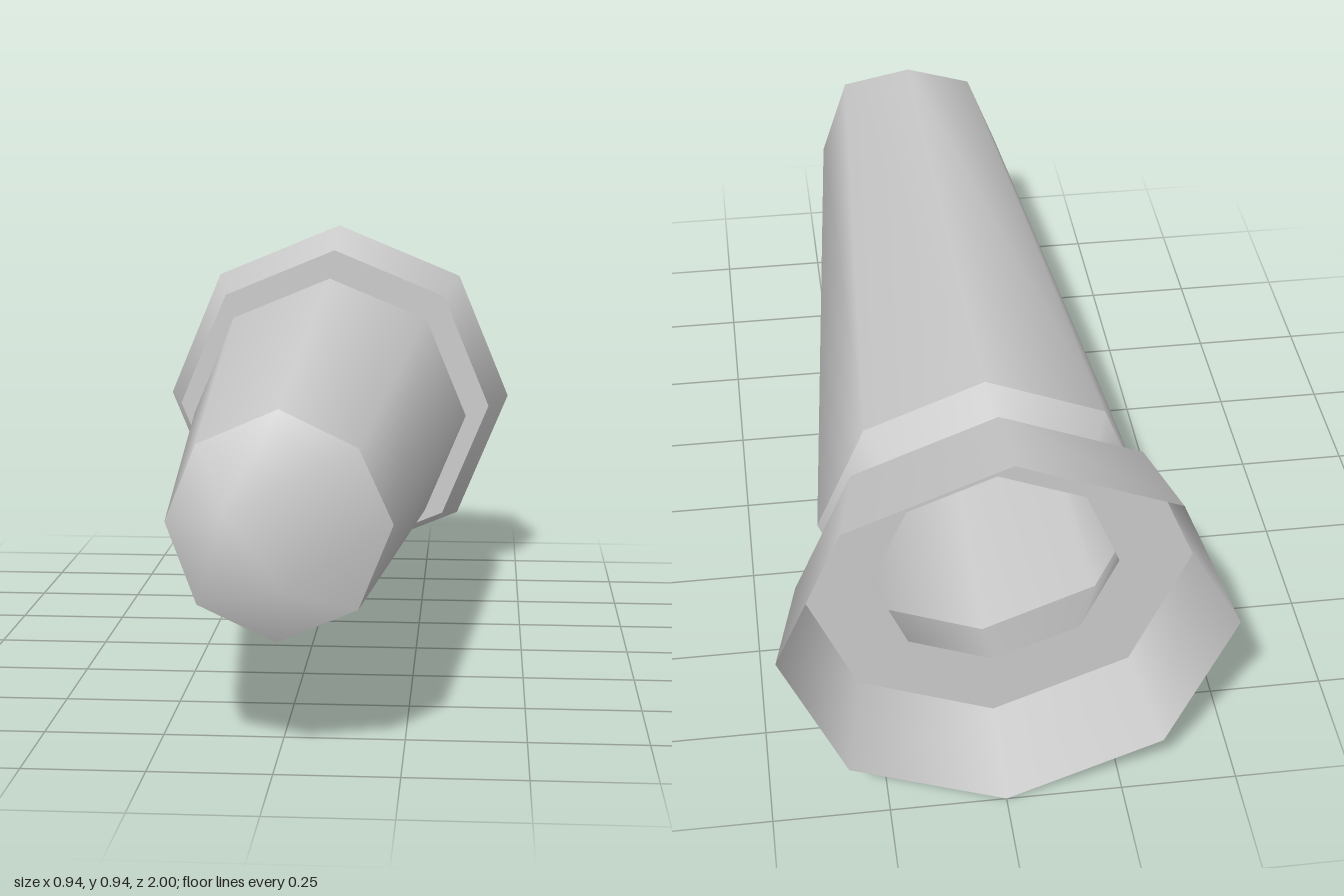
import * as THREE from 'three';

const SIDES = 8;
const CENTRE_Y = 0.472;
// front rim heights, counter-clockwise from +x in 45 degree steps
const RIM_Z = [0.86, 0.915, 0.86, 0.89, 0.86, 0.89, 0.92, 0.91];
const RIM_R = 0.228;

export function createModel() {
  const group = new THREE.Group();
  group.name = 'taperedTube';
  const grey = new THREE.MeshStandardMaterial({ color: 0xcccccc, side: THREE.DoubleSide });
  grey.name = 'light grey';

  const add = (name, geometry) => {
    const mesh = new THREE.Mesh(geometry, grey);
    mesh.name = name;
    mesh.position.y = CENTRE_Y;
    group.add(mesh);
  };

  // eight-sided band along z, smooth around and sharp at its ends
  const band = (r0, z0, r1, z1) =>
    new THREE.LatheGeometry([new THREE.Vector2(r0, z0), new THREE.Vector2(r1, z1)], SIDES)
      .rotateX(Math.PI / 2);

  // open collar at the back, its flat ring and the flaring neck
  add('collar', band(0.472, -1, 0.418, -0.79));
  add('collarRing', band(0.418, -0.79, 0.262, -0.79));
  add('neck', band(0.262, -0.79, 0.358, -0.605));

  // long body with an uneven front rim
  const body = band(0.358, -0.605, RIM_R, 0.86);
  const pos = body.attributes.position;
  for (let i = 0; i < pos.count; i++) {
    if (pos.getZ(i) < 0) continue;
    const k = Math.round(Math.atan2(pos.getY(i), pos.getX(i)) / (Math.PI / 4));
    pos.setZ(i, RIM_Z[(k + SIDES) % SIDES]);
  }
  add('body', body);

  // rounded tip: rim corners joined to two off-centre peaks (8 and 9)
  const points = RIM_Z.flatMap((z, k) => {
    const a = (k * Math.PI) / 4;
    return [RIM_R * Math.cos(a), RIM_R * Math.sin(a), z];
  });
  points.push(-0.1, 0.043, 1, 0.02, -0.112, 0.985);
  const faces = [];
  for (let k = 0; k < SIDES; k++) {
    faces.push(k, (k + 1) % SIDES, k >= 1 && k <= 4 ? 8 : 9);
  }
  faces.push(1, 8, 9, 5, 9, 8);
  const tip = new THREE.BufferGeometry();
  tip.setAttribute('position', new THREE.Float32BufferAttribute(points, 3));
  tip.setIndex(faces);
  tip.computeVertexNormals();
  add('tip', tip);

  return group;
}
